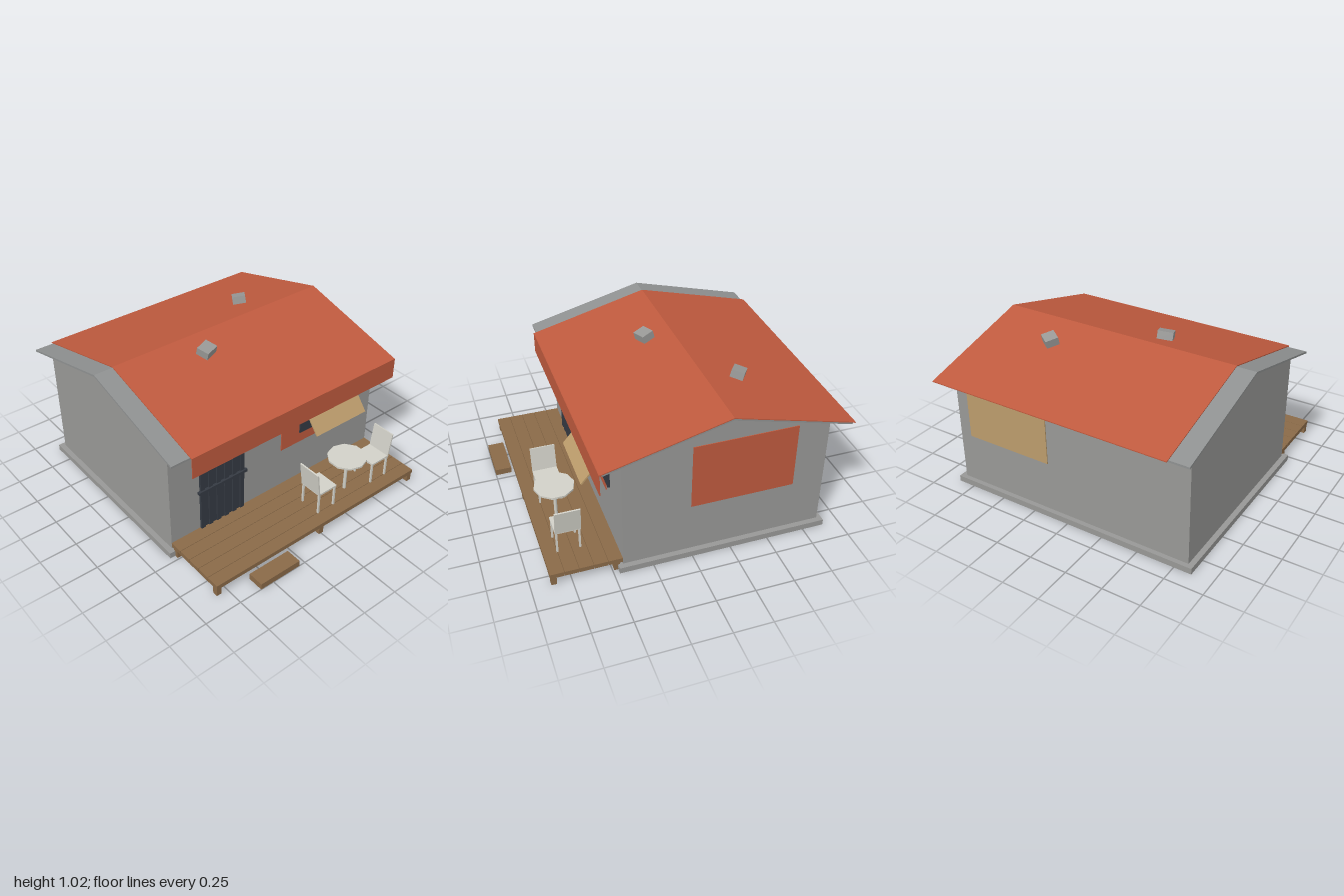
import * as THREE from 'three';

const mat = (name, color) => {
  const m = new THREE.MeshStandardMaterial({ color });
  m.name = name;
  return m;
};

export function createModel() {
  const concrete = mat('concrete', 0x989896);
  const roofGrey = mat('roof sheet grey', 0x8f9191);
  const red = mat('red tarp', 0xbf5a3e);
  const wood = mat('deck wood', 0x8a6a48);
  const plywood = mat('plywood', 0xbb9b6b);
  const dark = mat('dark metal', 0x353a43);
  const plastic = mat('pale plastic', 0xd2d1c8);

  const model = new THREE.Group();
  model.name = 'house';

  const add = (parent, name, geometry, material) => {
    const mesh = new THREE.Mesh(geometry, material);
    mesh.name = name;
    parent.add(mesh);
    return mesh;
  };
  // Box given by its limits on each axis
  const box = (parent, name, material, [x0, x1], [y0, y1], [z0, z1]) => {
    const mesh = add(parent, name, new THREE.BoxGeometry(x1 - x0, y1 - y0, z1 - z0), material);
    mesh.position.set((x0 + x1) / 2, (y0 + y1) / 2, (z0 + z1) / 2);
    return mesh;
  };
  // Side profile of (z, y) points, extruded from x0 to x1
  const prism = (name, material, points, x0, x1) => {
    const shape = new THREE.Shape(points.map(([z, y]) => new THREE.Vector2(z, y)));
    const geometry = new THREE.ExtrudeGeometry(shape, { depth: x1 - x0, bevelEnabled: false });
    geometry.rotateY(-Math.PI / 2).translate(x1, 0, 0);
    return add(model, name, geometry, material);
  };

  const ridgeZ = -0.2125;
  const slope = 0.262;
  const ridgeY = 1.0;

  // Walls with gables, on a foundation slab
  const eaveY = ridgeY - 0.02 - slope * 0.6475;
  prism('walls', concrete,
    [[0.435, 0.04], [0.435, eaveY], [ridgeZ, ridgeY - 0.02], [-0.86, eaveY], [-0.86, 0.04]], -0.83, 0.83);
  box(model, 'foundation', concrete, [-0.865, 0.865], [0, 0.04], [-0.89, 0.465]);

  // Folded roof layers
  const roofLayer = (name, material, top, thickness, half, x0, x1) => {
    const edge = top - slope * half;
    prism(name, material, [
      [ridgeZ + half, edge - thickness], [ridgeZ + half, edge], [ridgeZ, top],
      [ridgeZ - half, edge], [ridgeZ - half, edge - thickness], [ridgeZ, top - thickness],
    ], x0, x1);
  };
  roofLayer('roofSheet', roofGrey, ridgeY - 0.006, 0.013, 0.77, -0.885, 0.877);
  roofLayer('roofTarp', red, ridgeY, 0.006, 0.7875, -0.757, 0.88);
  box(model, 'tarpFlap', red, [-0.757, 0.88], [0.65, 0.795], [0.571, 0.576]);

  // Blocks weighing the tarp down
  const roofBlock = (x, z, turn, size) => {
    const holder = new THREE.Group();
    holder.name = 'roofBlock';
    holder.position.set(x, ridgeY - slope * Math.abs(z - ridgeZ) + 0.026, z);
    holder.rotation.x = Math.atan(slope) * Math.sign(z - ridgeZ);
    const block = add(holder, 'block', new THREE.BoxGeometry(...size), concrete);
    block.rotation.y = turn;
    model.add(holder);
  };
  roofBlock(-0.185, -0.037, 0.35, [0.1, 0.053, 0.085]);
  roofBlock(0.402, -0.445, -0.62, [0.09, 0.053, 0.083]);

  // Wall patches
  box(model, 'sidePatch', red, [0.83, 0.835], [0.375, 0.815], [-0.655, 0.007]);
  box(model, 'frontPatch', red, [0.035, 0.515], [0.37, 0.76], [0.435, 0.441]);
  box(model, 'backPatch', plywood, [0.145, 0.745], [0.375, 0.812], [-0.866, -0.86]);

  // Window with a propped-up shutter
  box(model, 'window', dark, [0.185, 0.59], [0.445, 0.7], [0.435, 0.449]);
  const shutter = add(model, 'windowShutter', new THREE.BoxGeometry(0.425, 0.258, 0.01), plywood);
  shutter.position.set(0.3875, 0.619, 0.529);
  shutter.rotation.x = -Math.atan2(0.165, 0.197);

  // Ribbed metal door with cross bars
  const door = new THREE.Group();
  door.name = 'door';
  model.add(door);
  box(door, 'doorPanel', dark, [-0.612, -0.277], [0.045, 0.72], [0.435, 0.443]);
  for (let i = 0; i < 6; i++) {
    const x = -0.612 + i * 0.061;
    box(door, 'doorRib', dark, [x, x + 0.03], [0.045, 0.72], [0.442, 0.451]);
  }
  for (const y of [0.052, 0.38, 0.708]) {
    box(door, 'doorBar', dark, [-0.63, -0.26], [y - 0.01, y + 0.01], [0.442, 0.462]);
  }

  // Plank deck on short posts
  const planks = 5;
  const pitch = 0.45 / planks;
  for (let i = 0; i < planks; i++) {
    const z = 0.435 + i * pitch;
    box(model, 'deckPlank', wood, [-0.83, 0.83], [0.055, 0.085], [z, z + pitch - 0.003]);
  }
  for (const x of [-0.81, 0, 0.81]) {
    for (const z of [0.472, 0.86]) {
      box(model, 'deckPost', wood, [x - 0.0175, x + 0.0175], [0, 0.055], [z - 0.0175, z + 0.0175]);
    }
  }
  box(model, 'step', wood, [-0.595, -0.295], [0, 0.042], [0.893, 1.0]);

  // Round table
  const table = new THREE.Group();
  table.name = 'table';
  table.position.set(0.345, 0, 0.725);
  model.add(table);
  add(table, 'tableTop', new THREE.CylinderGeometry(0.128, 0.128, 0.013, 10), plastic).position.y = 0.342;
  add(table, 'tableLeg', new THREE.CylinderGeometry(0.011, 0.011, 0.252, 8), plastic).position.y = 0.211;

  // Two chairs facing the table
  const chair = (x, turn) => {
    const g = new THREE.Group();
    g.name = 'chair';
    g.position.set(x, 0, 0.722);
    g.rotation.y = turn;
    box(g, 'seat', plastic, [-0.075, 0.075], [0.232, 0.245], [-0.08, 0.08]);
    for (const lx of [-0.066, 0.066]) {
      for (const lz of [-0.071, 0.071]) {
        box(g, 'chairLeg', plastic, [lx - 0.006, lx + 0.006], [0.085, 0.234], [lz - 0.006, lz + 0.006]);
      }
    }
    const back = add(g, 'chairBack', new THREE.BoxGeometry(0.01, 0.17, 0.16), plastic);
    back.position.set(-0.082, 0.322, 0);
    back.rotation.z = 0.14;
    model.add(g);
  };
  chair(0.112, 0);
  chair(0.584, Math.PI);

  return model;
}
